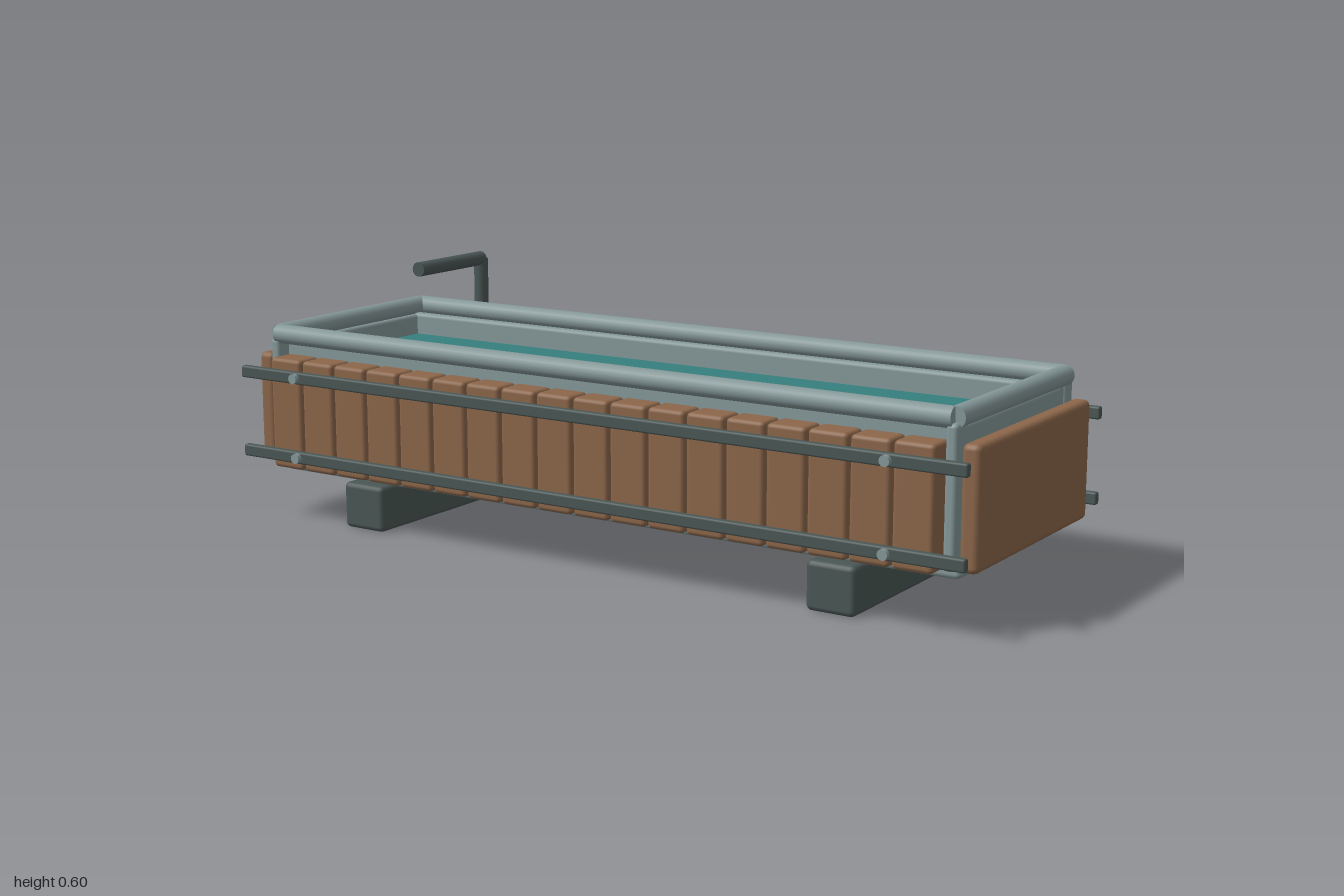
import * as THREE from 'three';
import { RoundedBoxGeometry } from 'three/addons/geometries/RoundedBoxGeometry.js';

const mat = (name, color) => {
  const m = new THREE.MeshStandardMaterial({ color });
  m.name = name;
  return m;
};

export function createModel() {
  const steel = mat('pale steel', 0x859798);
  const wood = mat('wood', 0x8b664a);
  const iron = mat('dark iron', 0x4a5755);
  const water = mat('water', 0x35807f);

  const model = new THREE.Group();
  model.name = 'waterTrough';
  const MID = 0.035; // centre line of the trough in z

  const add = (name, geometry, material, x, y, z) => {
    const mesh = new THREE.Mesh(geometry, material);
    mesh.name = name;
    mesh.position.set(x, y, z);
    model.add(mesh);
    return mesh;
  };
  // Rounded box given by its low and high corners
  const block = (name, material, [x0, y0, z0], [x1, y1, z1], r) =>
    add(name, new RoundedBoxGeometry(x1 - x0, y1 - y0, z1 - z0, 2, r), material,
      (x0 + x1) / 2, (y0 + y1) / 2, (z0 + z1) / 2);
  // Round bar between two points
  const bar = (name, material, a, b, r, sides = 20) => {
    const p = new THREE.Vector3(...a), q = new THREE.Vector3(...b);
    const mesh = add(name, new THREE.CylinderGeometry(r, r, p.distanceTo(q), sides), material, 0, 0, 0);
    mesh.position.copy(p).add(q).multiplyScalar(0.5);
    mesh.quaternion.setFromUnitVectors(new THREE.Vector3(0, 1, 0), q.sub(p).normalize());
    return mesh;
  };

  // Basin floor, walls and water
  block('basinFloor', steel, [-0.945, 0.112, MID - 0.261], [0.945, 0.15, MID + 0.261], 0.012);
  for (const s of [-1, 1]) {
    const z = MID + s * 0.246, x = s * 0.927;
    block('longWall', steel, [-0.945, 0.114, z - 0.015], [0.945, 0.45, z + 0.015], 0.01);
    block('endWall', steel, [x - 0.018, 0.114, MID - 0.26], [x + 0.018, 0.447, MID + 0.26], 0.01);
  }
  add('water', new THREE.BoxGeometry(1.82, 0.01, 0.47), water, 0, 0.39, MID);

  // Rolled rim and corner posts
  for (const s of [-1, 1]) {
    const z = MID + s * 0.281, x = s * 0.935;
    bar('longRim', steel, [-0.935, 0.466, z], [0.935, 0.466, z], 0.024);
    bar('endRim', steel, [x, 0.466, MID - 0.281], [x, 0.466, MID + 0.281], 0.024);
    for (const t of [-1, 1]) {
      const pz = MID + t * 0.277;
      block('cornerPost', steel, [x - 0.014, 0.138, pz - 0.022], [x + 0.014, 0.455, pz + 0.022], 0.01);
    }
  }

  // Upright planks along both long sides
  const COUNT = 18, PITCH = 1.84 / COUNT;
  for (const s of [-1, 1]) {
    for (let i = 0; i < COUNT; i++) {
      const x = -0.92 + (i + 0.5) * PITCH, z = MID + s * 0.299;
      block('sidePlank', wood, [x - 0.048, 0.137, z - 0.037], [x + 0.048, 0.415, z + 0.037], 0.01);
    }
    // Broad board at each end
    const x = s * 0.976;
    block('endBoard', wood, [x - 0.022, 0.137, MID - 0.29], [x + 0.022, 0.415, MID + 0.29], 0.014);
    // Rails with bolts
    for (const y of [0.173, 0.374]) {
      const z = MID + s * 0.344;
      block('rail', iron, [-1, y - 0.015, z - 0.0095], [1, y + 0.015, z + 0.0095], 0.005);
      for (const bx of [-0.82, 0.815]) {
        bar('bolt', steel, [bx, y, z], [bx, y, MID + s * 0.365], 0.0125, 12);
      }
    }
  }

  // Supporting beams
  for (const x of [-0.66, 0.655]) {
    block('footBeam', iron, [x - 0.061, 0, MID - 0.298], [x + 0.061, 0.115, MID + 0.298], 0.013);
  }

  // Filling pipe behind the trough
  bar('pipeUpright', iron, [-0.83, 0.07, -0.376], [-0.83, 0.585, -0.376], 0.019);
  bar('pipeSpout', iron, [-0.83, 0.585, -0.376], [-0.83, 0.585, -0.108], 0.019);

  return model;
}
